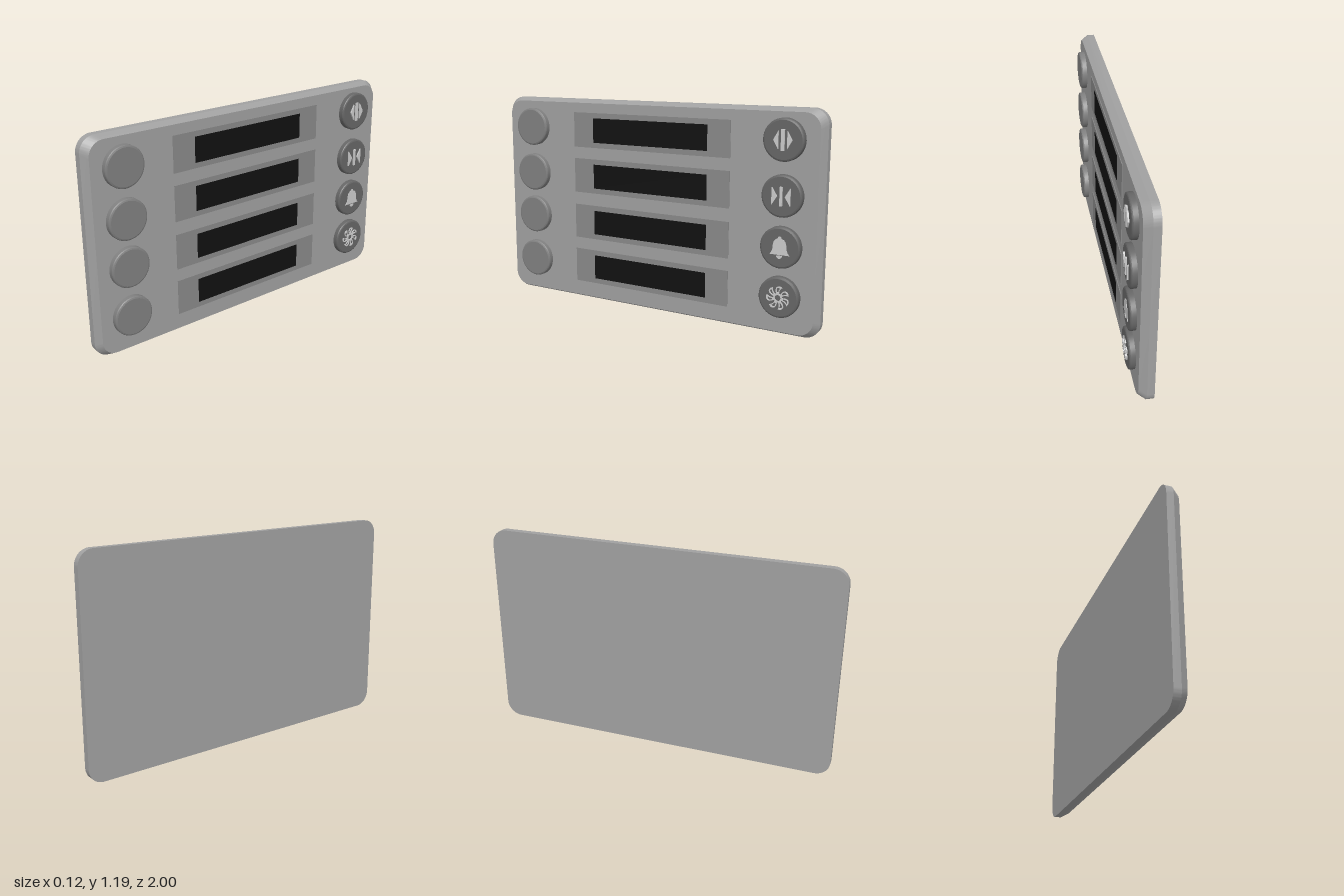
import * as THREE from 'three';
import { toCreasedNormals } from 'three/addons/utils/BufferGeometryUtils.js';

const mat = (color) => new THREE.MeshStandardMaterial({ color });
const FACE = 0.015; // front surface of the plate
const CAP = 0.048; // top surface of the buttons

// Plate, keys and icons are drawn in XY facing +z, then the whole is turned to face +x.
export function createModel() {
  const panel = new THREE.Group();
  panel.name = 'controlPanel';
  const mats = {
    plate: mat(0xa0a0a0), key: mat(0x808080), iconKey: mat(0x666666),
    frame: mat(0x898989), screen: mat(0x111111), icon: mat(0xe0e0e0),
  };

  function add(parent, name, geometry, material, x = 0, y = 0, z = 0) {
    const mesh = new THREE.Mesh(geometry, material);
    mesh.name = name;
    mesh.position.set(x, y, z);
    parent.add(mesh);
    return mesh;
  }
  const extrude = (shape, depth) =>
    new THREE.ExtrudeGeometry(shape, { depth, bevelEnabled: false, curveSegments: 10 });
  const polygon = (pts) => new THREE.Shape(pts.map(([x, y]) => new THREE.Vector2(x, y)));

  // Back plate: rounded rectangle whose front layer shrinks into a chamfer
  const W = 1, H = 0.595, R = 0.085;
  const outline = new THREE.Shape();
  outline.absarc(W - R, H - R, R, 0, Math.PI / 2);
  outline.absarc(-W + R, H - R, R, Math.PI / 2, Math.PI);
  outline.absarc(-W + R, -H + R, R, Math.PI, Math.PI * 1.5);
  outline.absarc(W - R, -H + R, R, Math.PI * 1.5, Math.PI * 2);
  const depth = 0.078;
  const plate = new THREE.ExtrudeGeometry(outline, { depth, steps: 2, bevelEnabled: false, curveSegments: 10 });
  const pos = plate.attributes.position;
  for (let i = 0; i < pos.count; i++) {
    if (pos.getZ(i) > depth - 0.001) pos.setXY(i, pos.getX(i) * 0.973, pos.getY(i) * 0.968);
  }
  add(panel, 'plate', toCreasedNormals(plate, 0.35), mats.plate, 0, H, FACE - depth);

  // Display strips: thin frame with a dark screen
  [1.016, 0.749, 0.476, 0.207].forEach((y) => {
    add(panel, 'displayFrame', new THREE.BoxGeometry(0.995, 0.2, 0.01), mats.frame, -0.006, y, FACE - 0.001);
    add(panel, 'displayScreen', new THREE.BoxGeometry(0.728, 0.14, 0.01), mats.screen, -0.006, y, FACE + 0.001);
  });

  // Round push buttons with a chamfered rim
  const profile = [[0.11, 0], [0.11, 0.025], [0.107, 0.03], [0.1, CAP - FACE], [0, CAP - FACE]];
  const keyGeometry = toCreasedNormals(
    new THREE.LatheGeometry(profile.map(([x, y]) => new THREE.Vector2(x, y)), 40).rotateX(Math.PI / 2), 0.3);
  [1.02, 0.747, 0.487, 0.211].forEach((y) => add(panel, 'plainButton', keyGeometry, mats.key, -0.798, y, FACE));

  // Icon makers, each centred on its button
  function doorIcon(base, tip, halfBar, halfHeight) {
    const g = new THREE.Group();
    add(g, 'doorBar', new THREE.BoxGeometry(halfBar * 2, halfHeight * 2, 0.01), mats.icon, 0, 0, 0.004);
    for (const s of [-1, 1]) {
      const pts = [[s * base, -0.046], [s * tip, 0], [s * base, 0.046]];
      add(g, 'doorArrow', extrude(polygon(pts), 0.009), mats.icon);
    }
    return g;
  }

  function bellIcon() {
    const g = new THREE.Group();
    const s = new THREE.Shape();
    s.moveTo(-0.056, -0.036);
    s.lineTo(0.056, -0.036);
    s.quadraticCurveTo(0.038, -0.022, 0.037, 0.005);
    s.bezierCurveTo(0.036, 0.035, 0.025, 0.045, 0.009, 0.049);
    s.absarc(0, 0.052, 0.009, 0, Math.PI);
    s.bezierCurveTo(-0.025, 0.045, -0.036, 0.035, -0.037, 0.005);
    s.quadraticCurveTo(-0.038, -0.022, -0.056, -0.036);
    add(g, 'bellBody', extrude(s, 0.003), mats.icon);
    const c = new THREE.Shape();
    c.absarc(0, -0.04, 0.016, Math.PI, Math.PI * 2);
    add(g, 'bellClapper', extrude(c, 0.005), mats.icon);
    return g;
  }

  function fanIcon() {
    const g = new THREE.Group();
    const hub = new THREE.Shape().absarc(0, 0, 0.024, 0, Math.PI * 2);
    hub.holes.push(new THREE.Path().absarc(0, 0, 0.016, 0, Math.PI * 2, true));
    add(g, 'fanHub', extrude(hub, 0.006), mats.icon);
    // Hollow curved blade
    const blade = new THREE.Shape();
    blade.moveTo(0.007, 0.022);
    blade.quadraticCurveTo(0.006, 0.044, 0.024, 0.056);
    blade.quadraticCurveTo(0.006, 0.069, -0.007, 0.057);
    blade.quadraticCurveTo(-0.016, 0.044, -0.007, 0.022);
    blade.closePath();
    const inner = blade.getPoints(8).map((p) => new THREE.Vector2(0.55 * p.x, 0.044 + 0.6 * (p.y - 0.044)));
    blade.holes.push(new THREE.Path(inner));
    const geometry = extrude(blade, 0.006);
    for (let i = 0; i < 7; i++) add(g, 'fanBlade', geometry, mats.icon).rotation.z = (i / 7) * Math.PI * 2;
    return g;
  }

  const iconKeys = [
    ['openDoor', 1.032, doorIcon(0.024, 0.05, 0.009, 0.054)],
    ['closeDoor', 0.747, doorIcon(0.05, 0.021, 0.007, 0.05)],
    ['alarmBell', 0.48, bellIcon()],
    ['fan', 0.215, fanIcon()],
  ];
  for (const [name, y, icon] of iconKeys) {
    add(panel, name + 'Button', keyGeometry, mats.iconKey, 0.792, y, FACE);
    icon.name = name + 'Icon';
    icon.position.set(0.792, y, CAP - 0.0005);
    panel.add(icon);
  }

  panel.rotation.y = Math.PI / 2;
  const model = new THREE.Group();
  model.name = 'buttonPanel';
  model.add(panel);
  return model;
}
